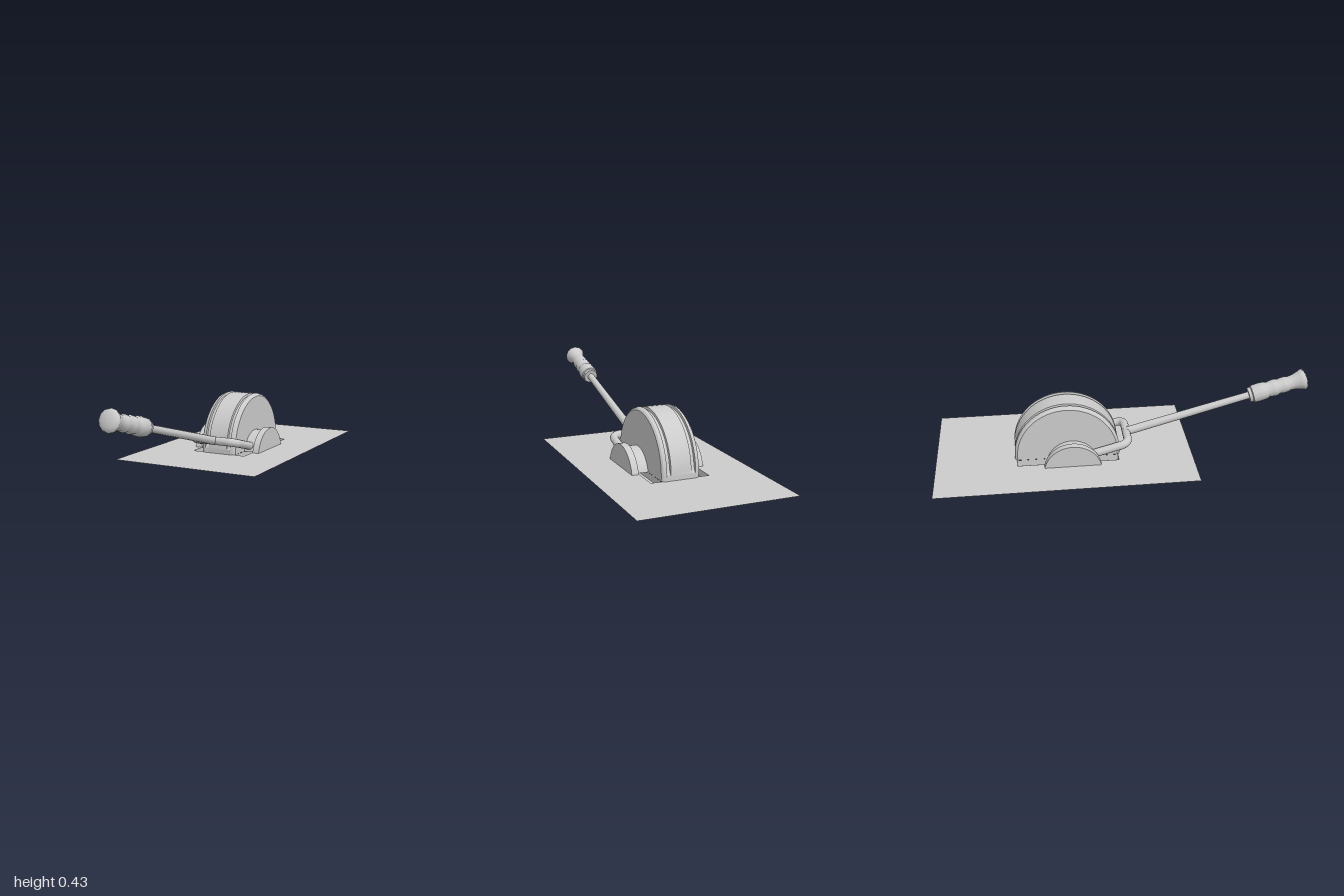
import * as THREE from 'three';
import { toCreasedNormals } from 'three/addons/utils/BufferGeometryUtils.js';

const material = new THREE.MeshStandardMaterial({ color: 0xcccccc, side: THREE.DoubleSide });
const PLATE_Y = 0.035;

function add(parent, name, geometry, x = 0, y = 0, z = 0) {
  const mesh = new THREE.Mesh(geometry, material);
  mesh.name = name;
  mesh.position.set(x, y, z);
  parent.add(mesh);
  return mesh;
}

// Flat plate with a rectangular cut-out
function plateGeometry() {
  const rect = (path, x, z0, z1) => {
    path.moveTo(-x, -z1).lineTo(x, -z1).lineTo(x, -z0).lineTo(-x, -z0).closePath();
    return path;
  };
  const shape = rect(new THREE.Shape(), 0.405, -1, 0.355);
  shape.holes.push(rect(new THREE.Path(), 0.155, -0.575, -0.04));
  return new THREE.ShapeGeometry(shape).rotateX(-Math.PI / 2);
}

// Half disc standing on its flat side, thickness along x
function halfDisc(radius, width, base) {
  const a = Math.asin(base / radius);
  const shape = new THREE.Shape();
  shape.absarc(0, 0, radius, a, Math.PI - a, false);
  shape.closePath();
  const geo = new THREE.ExtrudeGeometry(shape, { depth: width, bevelEnabled: false, curveSegments: 20 });
  geo.translate(0, 0, -width / 2).rotateY(Math.PI / 2);
  return toCreasedNormals(geo, 0.6);
}

// Hollow drum half: a grooved section swept over the top, flat at plate level
function drumGeometry() {
  const half = [[0, 0.1], [0.265, 0.1], [0.274, 0.092], [0.279, 0.076], [0.266, 0.074], [0.266, 0.056], [0.278, 0.054]];
  const section = [...half, ...half.slice().reverse().map(([r, x]) => [r, -x])];
  const centreY = 0.056, steps = 34, pos = [], index = [];
  for (let i = 0; i <= steps; i++) {
    const a = -0.076 + (Math.PI + 0.152) * i / steps;
    const nearEnd = i < 2 || i > steps - 2;
    for (const [r, x] of section) {
      // Grooves close before they reach the ends
      const groove = r === 0.266;
      const radius = groove && nearEnd ? 0.278 : r;
      const y = r === 0 ? PLATE_Y : Math.max(PLATE_Y, centreY + radius * Math.sin(a));
      pos.push(x, y, radius * Math.cos(a));
    }
  }
  const n = section.length;
  for (let i = 0; i < steps; i++) for (let j = 0; j < n - 1; j++) {
    const p = i * n + j, q = p + n;
    index.push(p, p + 1, q, p + 1, q + 1, q);
  }
  const geo = new THREE.BufferGeometry();
  geo.setAttribute('position', new THREE.Float32BufferAttribute(pos, 3));
  // Face the surface outwards
  for (let k = 0; k < index.length; k += 3) [index[k + 1], index[k + 2]] = [index[k + 2], index[k + 1]];
  geo.setIndex(index);
  return toCreasedNormals(geo, 0.5);
}

// U-shaped bar in the lever's own plane
function forkGeometry() {
  const w = 0.125, c = 0.05, end = -0.21;
  const v = (x, y) => new THREE.Vector3(x, y, 0);
  const path = new THREE.CurvePath();
  path.add(new THREE.LineCurve3(v(-w, end), v(-w, -c)));
  path.add(new THREE.QuadraticBezierCurve3(v(-w, -c), v(-w, 0), v(-w + c, 0)));
  path.add(new THREE.LineCurve3(v(-w + c, 0), v(w - c, 0)));
  path.add(new THREE.QuadraticBezierCurve3(v(w - c, 0), v(w, 0), v(w, -c)));
  path.add(new THREE.LineCurve3(v(w, -c), v(w, end)));
  return new THREE.TubeGeometry(path, 60, 0.022, 12, false);
}

export function createModel() {
  const model = new THREE.Group();
  model.name = 'floorLever';

  add(model, 'basePlate', plateGeometry(), 0, PLATE_Y, 0);
  add(model, 'drumCover', drumGeometry(), 0, 0, -0.308);

  for (const side of [-1, 1]) {
    // Sunken tray without its top face
    const tray = new THREE.BoxGeometry(0.055, PLATE_Y, 0.535);
    tray.setIndex([...tray.index.array].filter((_, i) => i < 12 || i >= 18));
    tray.clearGroups();
    add(model, 'slotTray', tray, side * 0.1275, PLATE_Y / 2, -0.3075);
    add(model, 'hub', halfDisc(0.135, 0.06, PLATE_Y), side * 0.13, 0, -0.285);
    add(model, 'hubFlange', halfDisc(0.153, 0.036, 0), side * 0.176, 0, -0.285);
  }

  // Lever, built along its own y axis and tilted forward
  const lever = new THREE.Group();
  lever.name = 'lever';
  lever.position.set(0, 0.115, 0.015);
  lever.rotation.x = Math.PI / 2 - Math.atan(0.269);
  model.add(lever);
  add(lever, 'fork', forkGeometry());
  add(lever, 'rod', new THREE.CylinderGeometry(0.019, 0.023, 0.72, 12), 0, 0.35, 0);

  // Turned grip with finger grooves and a flared end
  const grip = [
    [0, 0.69], [0.04, 0.69], [0.041, 0.707], [0.047, 0.711], [0.049, 0.745], [0.047, 0.782], [0.04, 0.798],
    [0.045, 0.822], [0.045, 0.84], [0.039, 0.86], [0.043, 0.88], [0.042, 0.9], [0.038, 0.918],
    [0.041, 0.945], [0.05, 0.975], [0.057, 0.992], [0.053, 1.003], [0.035, 1.011], [0, 1.014],
  ].map(([r, y]) => new THREE.Vector2(r, y));
  add(lever, 'grip', toCreasedNormals(new THREE.LatheGeometry(grip, 12), 0.9));

  return model;
}
